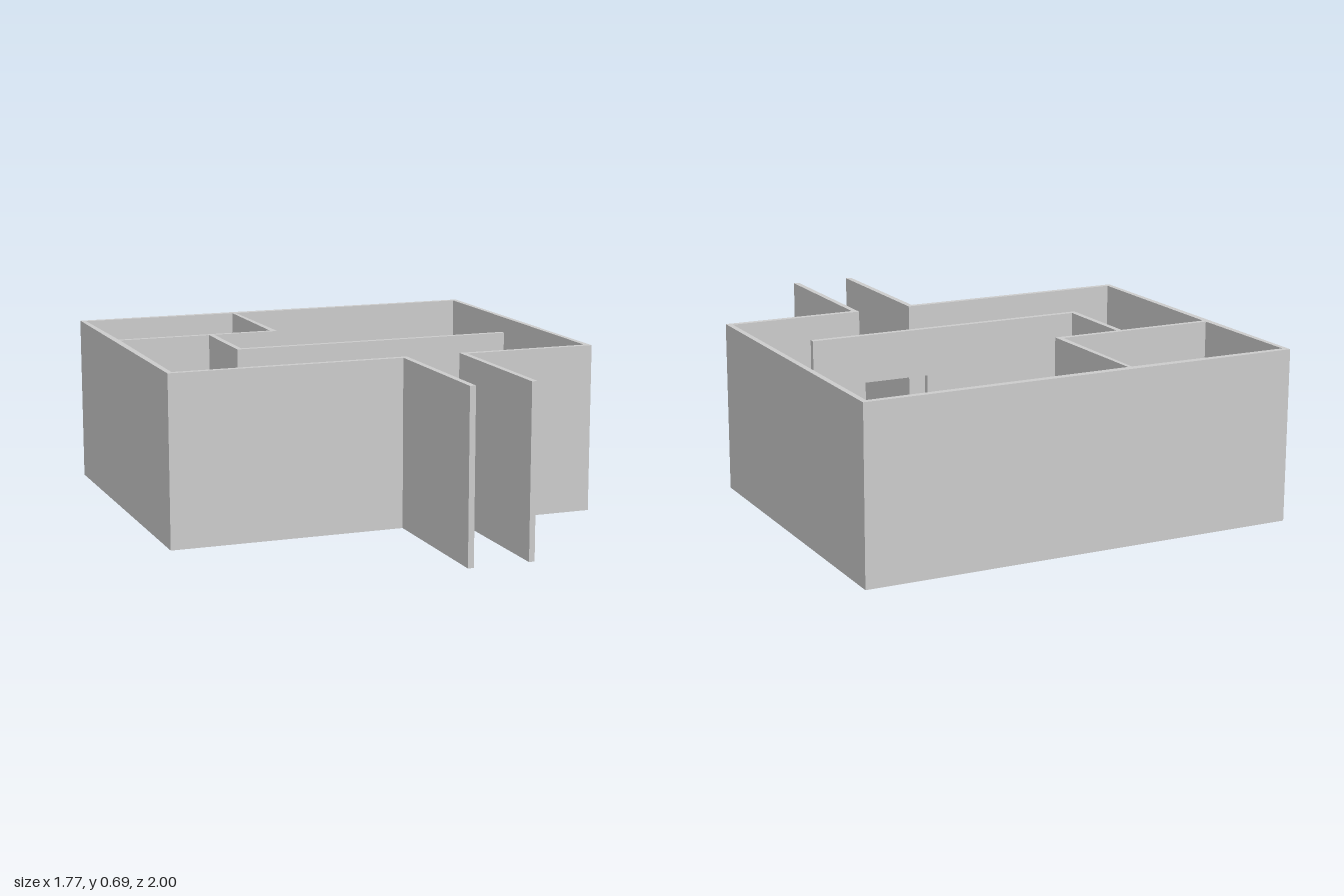
import * as THREE from 'three';

const H = 0.685;     // wall height
const DOOR = 0.495;  // door head height
const material = new THREE.MeshStandardMaterial({ color: 0xcccccc, flatShading: true });

const shapeFrom = (points) => new THREE.Shape(points.map(([x, y]) => new THREE.Vector2(x, y)));

// Wall drawn as a floor plan of [x, z] corners and raised to full height
function planWall(name, plan) {
  const geometry = new THREE.ExtrudeGeometry(shapeFrom(plan.map(([x, z]) => [x, -z])), { depth: H, bevelEnabled: false });
  geometry.rotateX(-Math.PI / 2);
  const mesh = new THREE.Mesh(geometry, material);
  mesh.name = name;
  return mesh;
}

// Wall drawn as an elevation of [x, y] corners and thickened from z0 to z1
function elevationWall(name, outline, z0, z1) {
  const geometry = new THREE.ExtrudeGeometry(shapeFrom(outline), { depth: z1 - z0, bevelEnabled: false });
  geometry.translate(0, 0, z0);
  const mesh = new THREE.Mesh(geometry, material);
  mesh.name = name;
  return mesh;
}

export function createModel() {
  const model = new THREE.Group();
  model.name = 'roomWalls';

  // Outer walls with the two entrance corridor walls, one continuous band
  model.add(planWall('outerWalls', [
    [0.09, 1], [0.09, 0.341], [0.066, 0.341],
    [-0.865, 0.341], [-0.86, -0.44], [-0.867, -0.975],
    [-0.2, -0.968], [0.865, -0.975], [0.865, 0.341],
    [0.315, 0.341], [0.315, 1], [0.338, 1], [0.338, 0.365],
    [0.887, 0.365], [0.887, -1], [-0.887, -1], [-0.887, 0.365],
    [0.066, 0.365], [0.066, 1],
  ]));

  // Small back room: side wall, and front wall with a doorway
  model.add(planWall('backRoomSideWall', [
    [-0.206, -0.968], [-0.206, -0.452], [-0.181, -0.452], [-0.19, -0.968],
  ]));
  model.add(elevationWall('backRoomFrontWall', [
    [-0.861, 0], [-0.75, 0], [-0.75, DOOR], [-0.48, DOOR], [-0.48, 0],
    [-0.181, 0], [-0.181, H], [-0.861, H],
  ], -0.452, -0.43));

  // Main room: short side wall, and front wall with a doorway and a lowered end
  model.add(planWall('mainRoomSideWall', [
    [-0.48, -0.43], [-0.48, -0.071], [-0.457, -0.071], [-0.457, -0.43],
  ]));
  model.add(elevationWall('mainRoomFrontWall', [
    [-0.48, 0], [0.2, 0], [0.2, DOOR], [0.47, DOOR], [0.47, 0], [0.865, 0],
    [0.865, 0.473], [0.69, 0.473], [0.69, H], [-0.48, H],
  ], -0.071, -0.048));

  return model;
}
